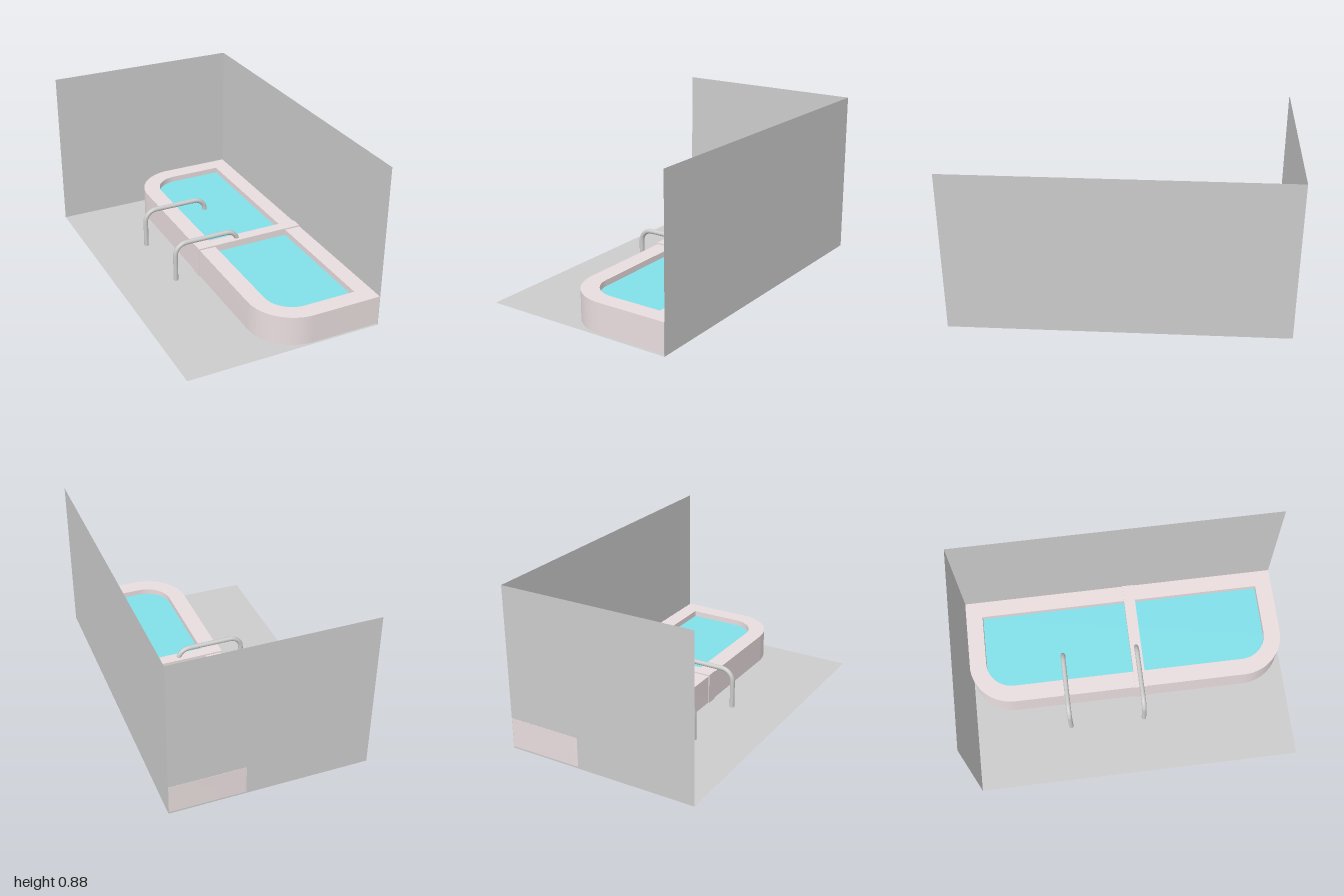
import * as THREE from 'three';
import { toCreasedNormals } from 'three/addons/utils/BufferGeometryUtils.js';

const LENGTH = 1.768, DEPTH = 1.061, HEIGHT = 0.885;
const POOL_DEPTH = 0.62, CORNER = 0.24, RIM = 0.093;

const grey = new THREE.MeshStandardMaterial({ color: 0xcccccc });
const sheet = new THREE.MeshStandardMaterial({ color: 0xcccccc, side: THREE.DoubleSide });
const stone = new THREE.MeshStandardMaterial({ color: 0xe9ddde });
const blue = new THREE.MeshStandardMaterial({ color: 0x81e0e9 });

function add(parent, name, geometry, material) {
  const mesh = new THREE.Mesh(geometry, material);
  mesh.name = name;
  parent.add(mesh);
  return mesh;
}

// Pool plan: square corners at the wall, round corners towards the room
function poolOutline(Type, x0, x1, z0, z1, r) {
  const s = new Type();
  s.moveTo(x0, z0);
  s.lineTo(x1, z0);
  s.lineTo(x1, z1 - r);
  s.absarc(x1 - r, z1 - r, r, 0, Math.PI / 2, false);
  s.lineTo(x0 + r, z1);
  s.absarc(x0 + r, z1 - r, r, Math.PI / 2, Math.PI, false);
  s.lineTo(x0, z0);
  return s;
}

// Upright slab with a plan in x, z
function slab(shape, bottom, top) {
  const g = new THREE.ExtrudeGeometry(shape, { depth: top - bottom, bevelEnabled: false, curveSegments: 24 });
  g.rotateX(Math.PI / 2);
  g.translate(0, top, 0);
  return toCreasedNormals(g, 0.5);
}

// Bent spout: up from the floor, over the rim and down to the water
function spout(parent, name, x) {
  const group = new THREE.Group();
  group.name = name;
  const y = 0.222, b = 0.065, zBase = 0.75, zEnd = 0.38, yEnd = 0.152, radius = 0.013;
  const v = (py, pz) => new THREE.Vector3(0, py, pz);
  const points = [v(0.005, zBase), v(0.08, zBase)];
  const bend = (zc, from) => {
    for (let i = 0; i <= 8; i++) {
      const a = from + (i / 8) * Math.PI / 2;
      points.push(v(y - b + b * Math.sin(a), zc + b * Math.cos(a)));
    }
  };
  bend(zBase - b, 0);
  points.push(v(y, (zBase + zEnd) / 2));
  bend(zEnd + b, Math.PI / 2);
  points.push(v(yEnd, zEnd));
  const path = new THREE.CatmullRomCurve3(points, false, 'centripetal');
  add(group, 'spoutPipe', new THREE.TubeGeometry(path, 64, radius, 16), grey);
  // Caps at both ends
  for (const p of [points[0], points[points.length - 1]]) {
    const cap = add(group, 'spoutEnd', new THREE.CircleGeometry(radius, 16), sheet);
    cap.rotation.x = Math.PI / 2;
    cap.position.copy(p);
  }
  group.position.x = x;
  parent.add(group);
}

export function createModel() {
  const model = new THREE.Group();
  model.name = 'cornerPool';

  // Origin at the wall corner, x along the long wall, z into the room
  const room = new THREE.Group();
  room.name = 'room';
  room.rotation.y = -Math.PI / 4;
  room.position.set(-0.25, 0, -1);
  model.add(room);

  // Floor and two thin walls
  const floor = add(room, 'floor', new THREE.PlaneGeometry(LENGTH, DEPTH), sheet);
  floor.rotation.x = -Math.PI / 2;
  floor.position.set(LENGTH / 2, 0, DEPTH / 2);
  const longWall = add(room, 'longWall', new THREE.PlaneGeometry(LENGTH, HEIGHT), sheet);
  longWall.position.set(LENGTH / 2, HEIGHT / 2, 0);
  const shortWall = add(room, 'shortWall', new THREE.PlaneGeometry(DEPTH, HEIGHT), sheet);
  shortWall.rotation.y = Math.PI / 2;
  shortWall.position.set(0, HEIGHT / 2, DEPTH / 2);

  // Raised basin rim with the pool opening
  const inner = [RIM, LENGTH - RIM, RIM, POOL_DEPTH - RIM, CORNER - RIM];
  const rim = poolOutline(THREE.Shape, -0.001, LENGTH, 0.002, POOL_DEPTH, CORNER);
  rim.holes.push(poolOutline(THREE.Path, ...inner));
  add(room, 'basinRim', slab(rim, 0.01, 0.17), stone);

  // Water filling the opening
  add(room, 'water', slab(poolOutline(THREE.Shape, ...inner), 0.01, 0.138), blue);

  // Divider across the pool
  const divider = add(room, 'divider', new THREE.BoxGeometry(0.063, 0.17, 0.622), stone);
  divider.position.set(0.941, 0.093, 0.314);

  spout(room, 'leftSpout', 0.943);
  spout(room, 'rightSpout', 0.527);

  return model;
}
